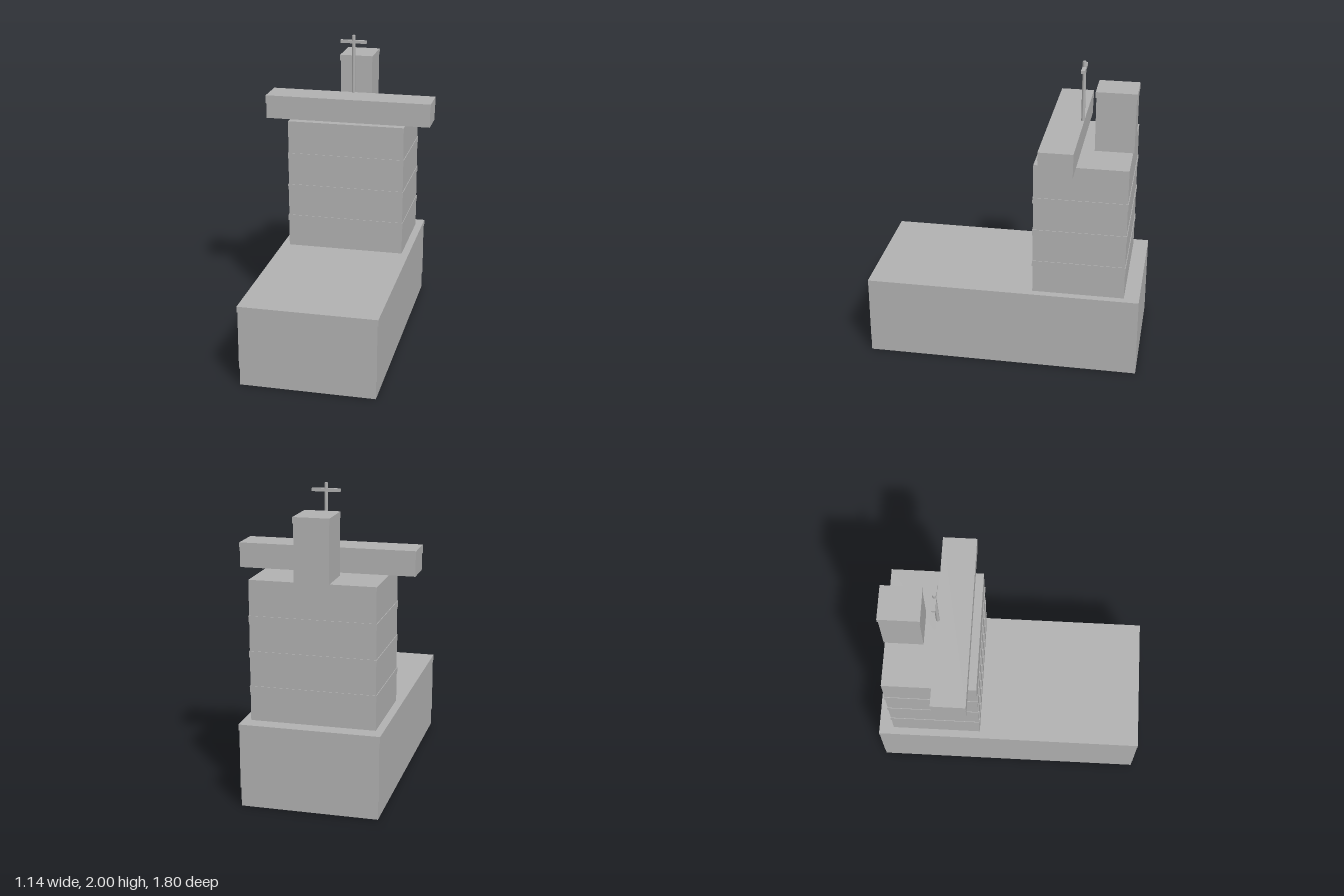
import * as THREE from 'three';

const grey = new THREE.MeshStandardMaterial({ color: 0xb2b2b2, side: THREE.DoubleSide });
grey.name = 'plain grey';

export function createModel() {
  const model = new THREE.Group();
  model.name = 'shipSuperstructure';

  const add = (name, geometry, x, y, z) => {
    const mesh = new THREE.Mesh(geometry, grey);
    mesh.name = name;
    mesh.position.set(x, y, z);
    model.add(mesh);
    return mesh;
  };

  // Solid block given by half width, height range and depth range
  const block = (name, halfX, y0, y1, z0, z1) =>
    add(name, new THREE.BoxGeometry(halfX * 2, y1 - y0, z1 - z0), 0, (y0 + y1) / 2, (z0 + z1) / 2);

  // Four thin walls, open above and below
  const skirt = (name, halfX, y0, y1, z0, z1) => {
    const mesh = block(name, halfX, y0, y1, z0, z1);
    // Drop the top and bottom faces, which are the third and fourth of the box
    const index = Array.from(mesh.geometry.index.array);
    index.splice(12, 12);
    mesh.geometry.setIndex(index);
    mesh.geometry.clearGroups();
    return mesh;
  };

  // Hull section: hollow underneath, slightly wider towards the deck
  skirt('hullSkirt', 0.44, 0, 0.12, -0.9, 0.9);
  block('hull', 0.445, 0.12, 0.5, -0.9, 0.9);
  block('deckEdge', 0.45, 0.5, 0.54, -0.9, 0.9);

  // Deckhouse tower with a narrow band at each storey
  block('deckhouse', 0.4, 0.54, 1.44, -0.8, -0.2);
  const storey = 0.225;
  for (let i = 1; i < 4; i++) {
    const top = 0.54 + i * storey;
    block('storeyBand' + i, 0.404, top - 0.04, top, -0.804, -0.196);
  }

  // Bridge with wings, hollow underneath
  skirt('bridgeSkirt', 0.567, 1.44, 1.545, -0.468, -0.252);
  block('bridgeRoof', 0.57, 1.545, 1.6, -0.47, -0.25);

  // Funnel with a slightly wider cap
  block('funnel', 0.11, 1.44, 1.8, -0.807, -0.553);
  block('funnelCap', 0.114, 1.8, 1.84, -0.812, -0.548);

  // Mast and yard
  add('mast', new THREE.CylinderGeometry(0.012, 0.012, 0.4, 8), 0, 1.8, -0.461);
  block('yard', 0.09, 1.945, 1.965, -0.474, -0.449);

  return model;
}
